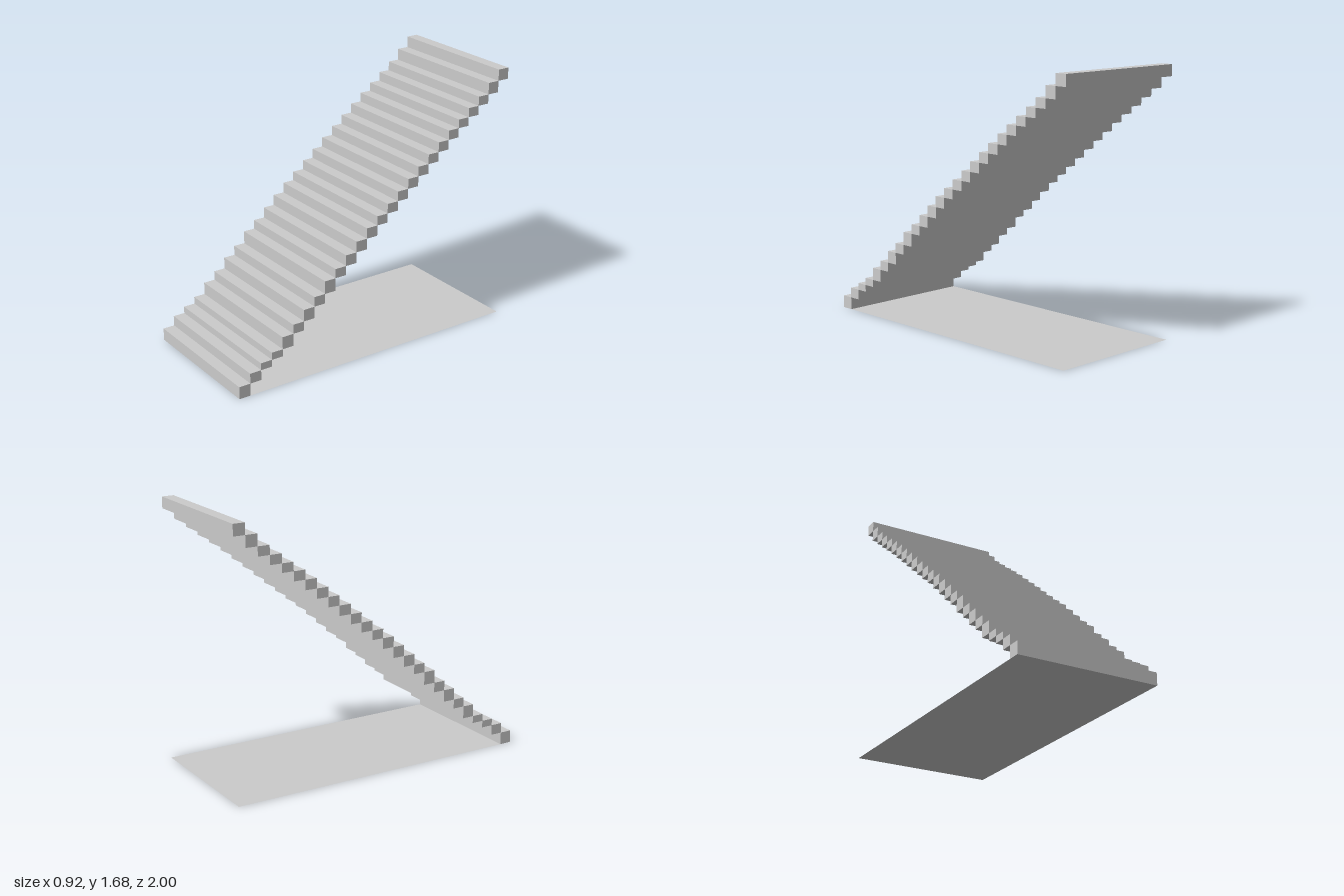
import * as THREE from 'three';

export function createModel() {
  const group = new THREE.Group();
  const width = 0.917;
  const length = 2;
  const material = new THREE.MeshStandardMaterial({ color: 0xcccccc, flatShading: true });

  // Height of each tread; every step spans from the previous tread to its own
  const treads = [
    0.08, 0.146, 0.191, 0.238, 0.318, 0.378, 0.454, 0.517, 0.6, 0.66, 0.73, 0.8, 0.868,
    0.928, 0.99, 1.053, 1.117, 1.18, 1.242, 1.305, 1.365, 1.421, 1.48, 1.539, 1.613, 1.685,
  ];
  const depth = length / treads.length;

  // Flight of uneven steps climbing from front to back
  const flight = new THREE.Group();
  flight.name = 'stairFlight';
  let base = 0;
  treads.forEach((top, i) => {
    const step = new THREE.Mesh(new THREE.BoxGeometry(width, top - base, depth), material);
    step.position.set(0, (base + top) / 2, length / 2 - depth * (i + 0.5));
    step.name = `step${i + 1}`;
    flight.add(step);
    base = top;
  });
  group.add(flight);

  // Thin floor sheet under the whole flight
  const floorMaterial = material.clone();
  floorMaterial.side = THREE.DoubleSide;
  const floor = new THREE.Mesh(new THREE.PlaneGeometry(width, length), floorMaterial);
  floor.rotation.x = -Math.PI / 2;
  floor.name = 'floorSheet';
  group.add(floor);

  return group;
}
